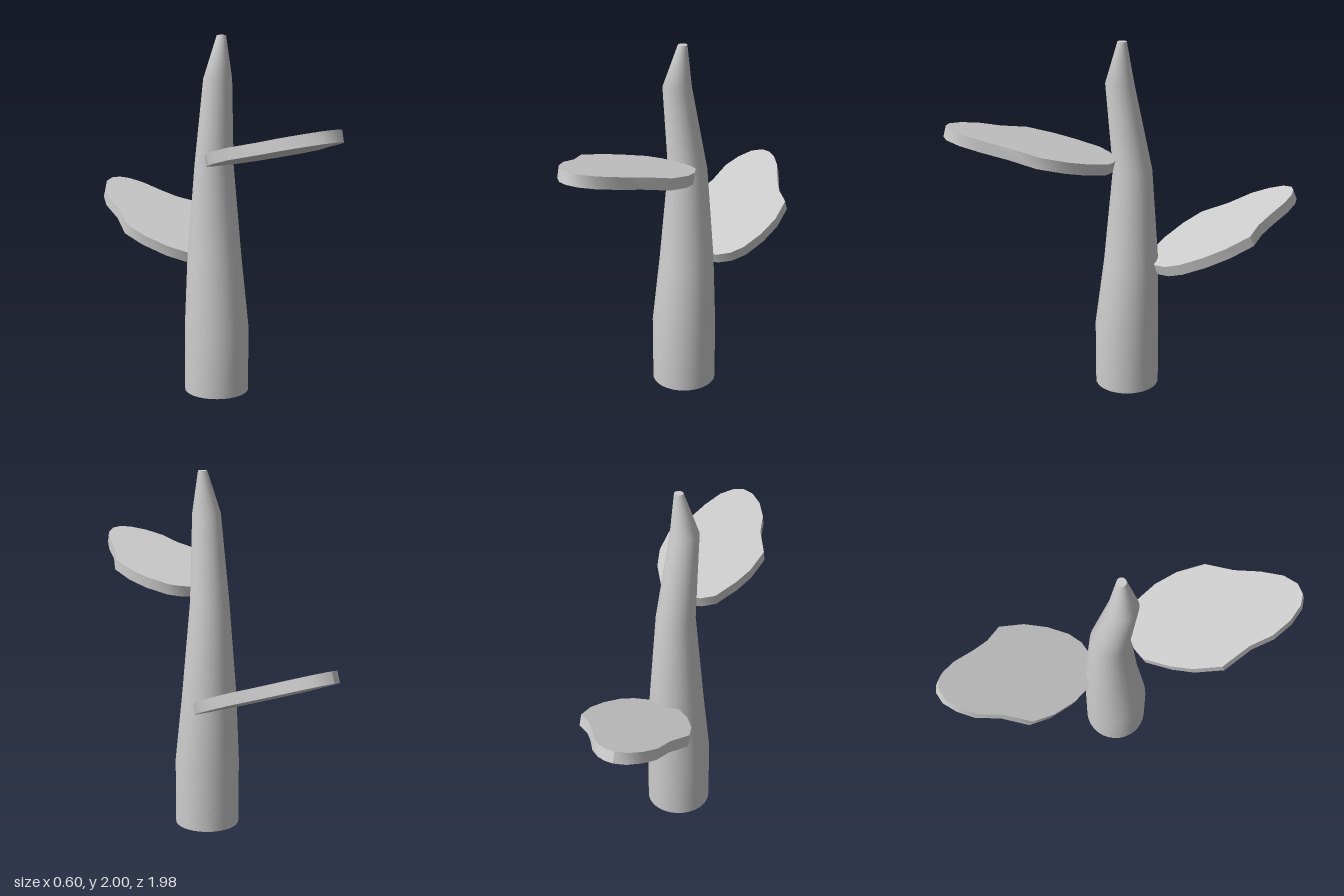
import * as THREE from 'three';
import { mergeVertices, toCreasedNormals } from 'three/addons/utils/BufferGeometryUtils.js';

const grey = new THREE.MeshStandardMaterial({ color: 0xcccccc });

// Trunk rings from the ground up: height, centre x, centre z, radius
const RINGS = [
  [0, -0.007, 0.01, 0.18],
  [0.37, -0.007, 0.01, 0.18],
  [0.76, -0.005, -0.014, 0.152],
  [1.29, -0.003, -0.021, 0.108],
  [1.77, -0.025, 0.045, 0.078],
  [2, 0.005, 0.037, 0.025],
];

// Leaf outlines as seen from above: x, z of the upper face
const FRONT_LEAF = [
  [-0.04, 0.08], [0.04, 0.08], [0.1, 0.1], [0.16, 0.14], [0.23, 0.25], [0.27, 0.37],
  [0.28, 0.52], [0.21, 0.66], [0.17, 0.79], [0.12, 0.9], [0.06, 0.96], [0, 0.975],
  [-0.06, 0.955], [-0.13, 0.89], [-0.19, 0.79], [-0.22, 0.67], [-0.3, 0.52],
  [-0.28, 0.37], [-0.24, 0.26], [-0.17, 0.13], [-0.1, 0.09],
];
const BACK_LEAF = [
  [0.05, -0.115], [0.12, -0.125], [0.19, -0.165], [0.24, -0.23], [0.28, -0.35],
  [0.295, -0.48], [0.275, -0.62], [0.19, -0.69], [0.13, -0.77], [0.06, -0.88],
  [0, -0.94], [-0.05, -0.965], [-0.1, -0.97], [-0.16, -0.94], [-0.21, -0.87],
  [-0.245, -0.78], [-0.25, -0.64], [-0.29, -0.49], [-0.25, -0.37], [-0.17, -0.24],
  [-0.09, -0.16], [-0.03, -0.125],
];

// Bent, tapering trunk: a cylinder whose rows are moved onto the rings
function trunkGeometry() {
  const last = RINGS.length - 1;
  const geo = new THREE.CylinderGeometry(1, 1, last, 32, last);
  geo.deleteAttribute('uv');
  const pos = geo.attributes.position;
  for (let i = 0; i < pos.count; i++) {
    const [y, cx, cz, r] = RINGS[Math.round(pos.getY(i) + last / 2)];
    pos.setXYZ(i, cx + r * pos.getX(i), y, cz + r * pos.getZ(i));
  }
  const merged = mergeVertices(geo);
  merged.computeVertexNormals();
  return merged;
}

// Flat slab leaf rising outwards; dir is +1 to the front, -1 to the back.
// y and z give the inner end of the face from which the slab is extruded.
function leafGeometry(outline, dir, slope, y, z) {
  const angle = Math.atan(slope), c = Math.cos(angle), s = Math.sin(angle);
  const start = Math.min(...outline.map((p) => dir * p[1]));
  const shape = new THREE.Shape(
    outline.map(([x, pz]) => new THREE.Vector2(x, (dir * pz - start) / c)));
  const geo = new THREE.ExtrudeGeometry(shape, { depth: 0.062, bevelEnabled: false });
  const along = new THREE.Vector3(0, s, dir * c);
  const right = new THREE.Vector3(1, 0, 0);
  const normal = new THREE.Vector3().crossVectors(right, along);
  geo.applyMatrix4(new THREE.Matrix4().makeBasis(right, along, normal).setPosition(0, y, z));
  return toCreasedNormals(geo, 0.6);
}

export function createModel() {
  const group = new THREE.Group();
  const add = (name, geo) => {
    const mesh = new THREE.Mesh(geo, grey);
    mesh.name = name;
    group.add(mesh);
  };
  add('trunk', trunkGeometry());
  add('frontLeaf', leafGeometry(FRONT_LEAF, 1, 0.255, 1.363, 0.08));
  add('backLeaf', leafGeometry(BACK_LEAF, -1, 0.394, 0.7, -0.138));
  return group;
}
